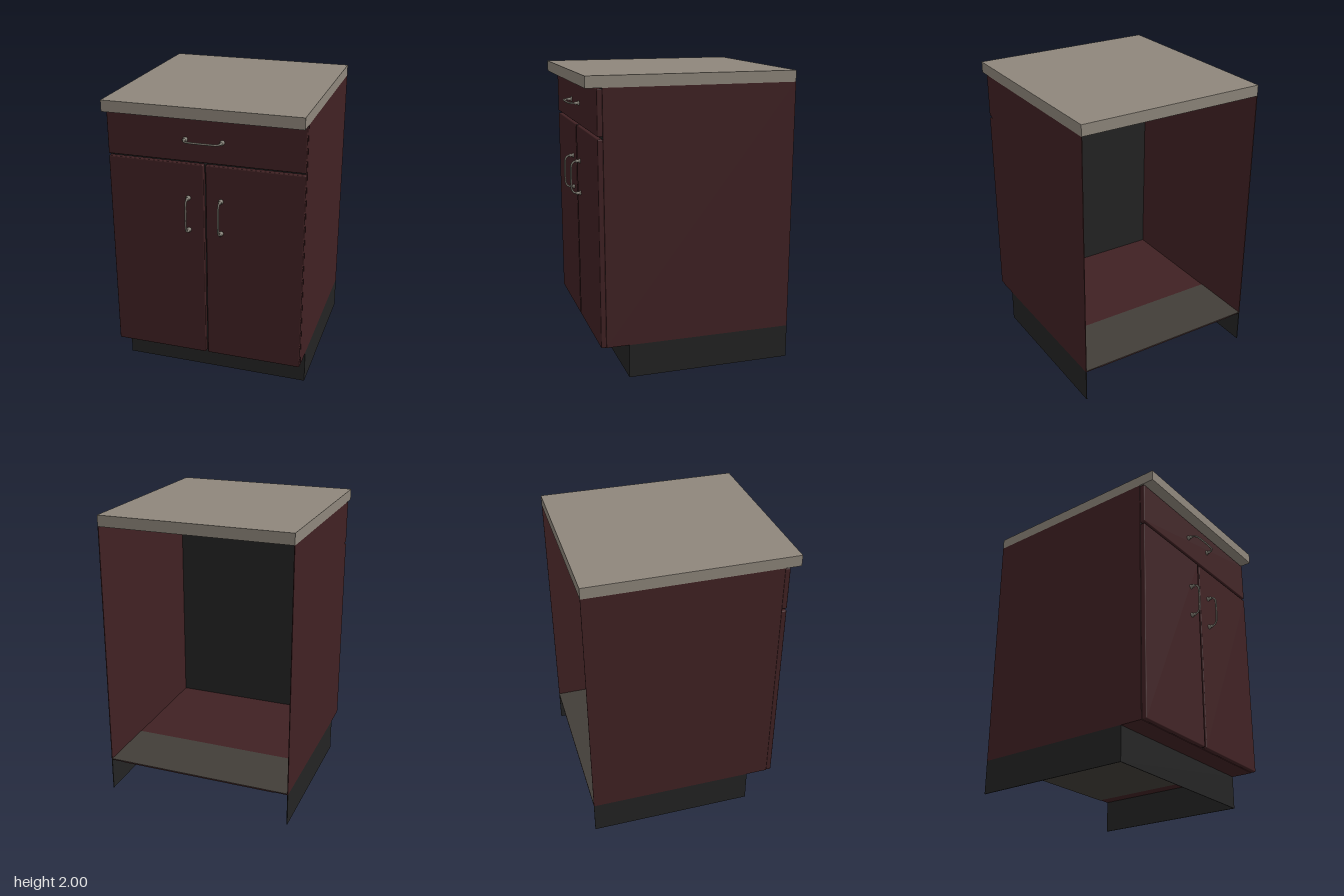
import * as THREE from 'three';
import { RoundedBoxGeometry } from 'three/addons/geometries/RoundedBoxGeometry.js';

const mat = (name, color) => {
  const m = new THREE.MeshStandardMaterial({ color });
  m.name = name;
  return m;
};

export function createModel() {
  const red = mat('dark red wood', 0x402123);
  const stone = mat('stone countertop', 0x8e867b);
  const black = mat('black base', 0x232323);
  const liner = mat('grey-brown liner', 0x423d38);
  const metal = mat('handle metal', 0x7d796f);

  const model = new THREE.Group();
  model.name = 'baseCabinet';

  // Box given by its minimum and maximum corners, optionally with rounded edges
  const box = (name, material, [x0, y0, z0], [x1, y1, z1], round = 0) => {
    const size = [x1 - x0, y1 - y0, z1 - z0];
    const geo = round ? new RoundedBoxGeometry(...size, 2, round) : new THREE.BoxGeometry(...size);
    const mesh = new THREE.Mesh(geo, material);
    mesh.name = name;
    mesh.position.set((x0 + x1) / 2, (y0 + y1) / 2, (z0 + z1) / 2);
    model.add(mesh);
    return mesh;
  };

  const W = 0.657, T = 0.005, BACK = -0.7, FRONT = 0.592, FLOOR = 0.23, TOP = 1.925;

  // Countertop, with a dark sheet under its front half
  box('countertop', stone, [-W, TOP, BACK], [W, 2, 0.7]);
  box('topLining', black, [-W + T, TOP - 0.004, 0], [W - T, TOP, FRONT - 0.004]);

  // Open-backed carcass and recessed base
  for (const [side, s] of [['left', 1], ['right', -1]]) {
    const inner = s * (W - T), outer = s * W;
    const lo = Math.min(inner, outer), hi = Math.max(inner, outer);
    box(side + 'Panel', red, [lo, FLOOR, BACK], [hi, TOP, FRONT]);
    box(side + 'BasePanel', black, [lo, 0, BACK], [hi, FLOOR, 0.44]);
  }
  box('toeKick', black, [-W + T, 0, 0.435], [W - T, FLOOR, 0.44]);
  box('floor', red, [-W + T, FLOOR, BACK], [W - T, FLOOR + T, FRONT]);
  box('floorLining', liner, [-W + T, FLOOR + T, BACK], [W - T, FLOOR + 0.008, -0.25]);
  box('floorUnderside', liner, [-W + 0.1, FLOOR - 0.003, BACK], [W - 0.1, FLOOR, 0.34]);
  box('frontLining', black, [-W + T, FLOOR + T, FRONT - 0.004], [W - T, TOP - 0.004, FRONT]);
  box('drawerRail', red, [-W + T, 1.61, FRONT - 0.008], [W - T, 1.625, FRONT - 0.004]);

  // Drawer and door fronts
  const FACE = 0.628;
  box('drawerFront', red, [-W, 1.625, FRONT], [W, 1.92, FACE], 0.007);
  box('leftDoor', red, [0.007, FLOOR, FRONT], [W, 1.61, FACE], 0.007);
  box('rightDoor', red, [-W, FLOOR, FRONT], [-0.007, 1.61, FACE], 0.007);

  // Bowed bar handle on two turned feet
  const makeHandle = (name, x, y, half, turn) => {
    const g = new THREE.Group();
    g.name = name;
    const points = [
      [-half, 0], [-half, 0.03], [-half + 0.006, 0.046], [-half + 0.025, 0.06], [-half * 0.5, 0.064],
      [half * 0.5, 0.064], [half - 0.025, 0.06], [half - 0.006, 0.046], [half, 0.03], [half, 0],
    ].map(([a, z]) => new THREE.Vector3(0, a, z));
    const bar = new THREE.Mesh(
      new THREE.TubeGeometry(new THREE.CatmullRomCurve3(points, false, 'centripetal'), 48, 0.0065, 10), metal);
    bar.name = 'bar';
    g.add(bar);
    const profile = [[0.016, 0], [0.016, 0.006], [0.01, 0.011], [0.01, 0.02], [0.013, 0.025], [0.007, 0.032]]
      .map(([r, h]) => new THREE.Vector2(r, h));
    for (const s of [-1, 1]) {
      const foot = new THREE.Mesh(new THREE.LatheGeometry(profile, 14), metal);
      foot.name = 'foot';
      foot.rotation.x = Math.PI / 2;
      foot.position.y = s * half;
      g.add(foot);
    }
    g.position.set(x, y, FACE);
    g.rotation.z = turn;
    model.add(g);
  };
  makeHandle('leftDoorHandle', 0.11, 1.265, 0.112, 0);
  makeHandle('rightDoorHandle', -0.11, 1.265, 0.112, 0);
  makeHandle('drawerHandle', 0, 1.772, 0.122, Math.PI / 2);

  return model;
}
